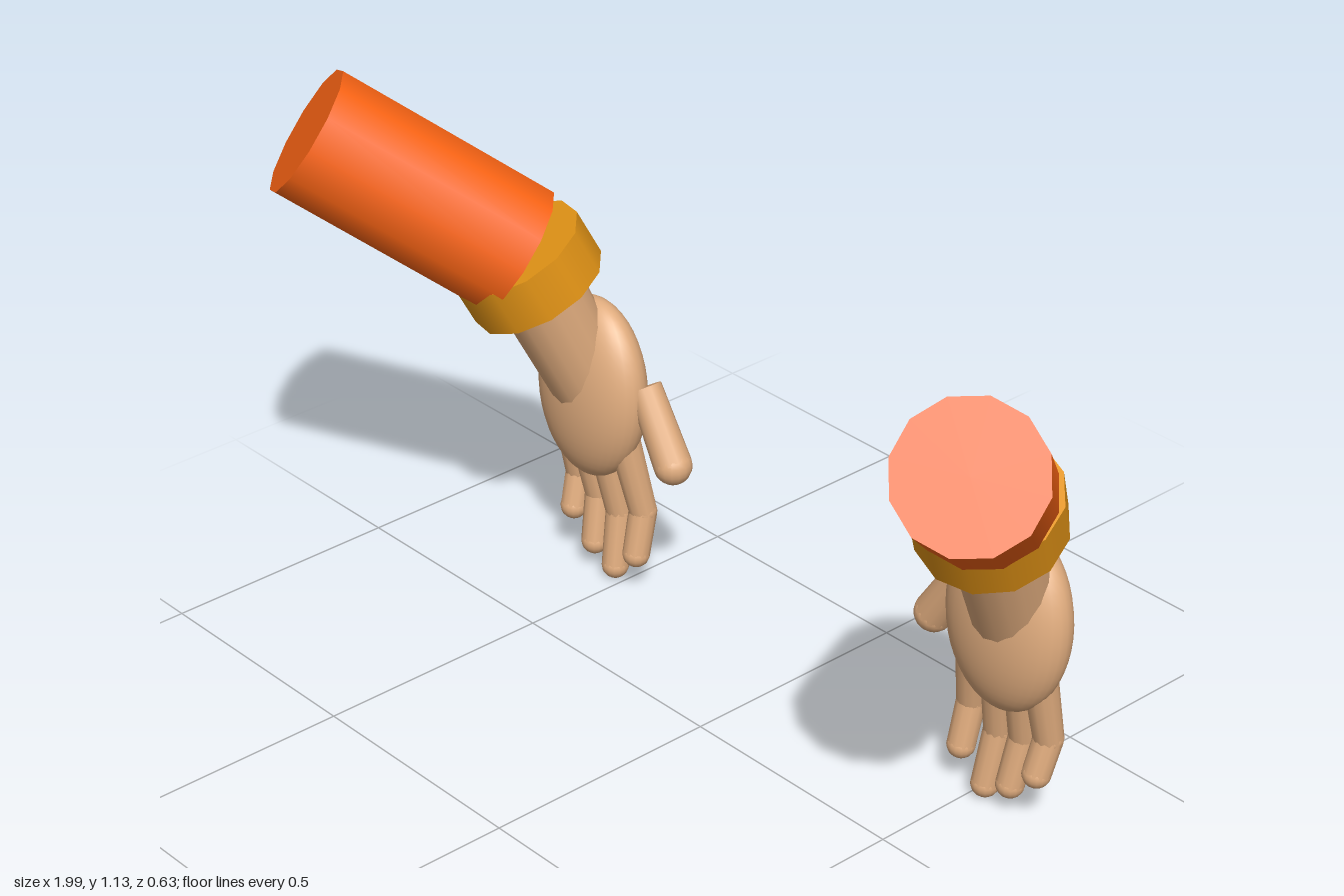
import * as THREE from 'three';

const skin = new THREE.MeshStandardMaterial({ color: 0xe0ac7e });
const sleeveMat = new THREE.MeshStandardMaterial({ color: 0xfa6414 });
const cuffMat = new THREE.MeshStandardMaterial({ color: 0xe39416 });
const UP = new THREE.Vector3(0, 1, 0);

// Tapered cylinder running from point a to point b
function limb(name, a, b, ra, rb, sides, material) {
  const from = new THREE.Vector3(...a), to = new THREE.Vector3(...b);
  const dir = to.clone().sub(from);
  const mesh = new THREE.Mesh(new THREE.CylinderGeometry(rb, ra, dir.length(), sides), material);
  mesh.position.copy(from).add(to).multiplyScalar(0.5);
  mesh.quaternion.setFromUnitVectors(UP, dir.normalize());
  mesh.name = name;
  return mesh;
}

function ball(name, p, r) {
  const mesh = new THREE.Mesh(new THREE.SphereGeometry(r, 16, 12), skin);
  mesh.position.set(...p);
  mesh.name = name;
  return mesh;
}

// Base, joint and tip of each finger, little finger first
const FINGERS = [
  { name: 'littleFinger', base: [0.655, 0.33], joint: [0.658, 0.19], tip: [0.652, 0.118] },
  { name: 'ringFinger', base: [0.607, 0.31], joint: [0.597, 0.165], tip: [0.588, 0.063] },
  { name: 'middleFinger', base: [0.548, 0.31], joint: [0.533, 0.15], tip: [0.525, 0.033] },
  { name: 'indexFinger', base: [0.485, 0.34], joint: [0.462, 0.18], tip: [0.46, 0.088] },
];

function buildArm(side) {
  const arm = new THREE.Group();
  arm.name = side > 0 ? 'leftArm' : 'rightArm';
  const P = (x, y, z) => [side * x, y, z];

  // Sleeve and cuff
  arm.add(limb('sleeve', P(0.63, 0.76, -0.09), P(0.883, 1.022, 0.212), 0.136, 0.136, 12, sleeveMat));
  arm.add(limb('cuff', P(0.616, 0.673, -0.13), P(0.638, 0.763, -0.089), 0.141, 0.141, 12, cuffMat));

  // Wrist runs into the palm
  arm.add(limb('wrist', P(0.583, 0.43, -0.238), P(0.627, 0.715, -0.112), 0.08, 0.09, 16, skin));

  // Flattened palm
  const palm = new THREE.Mesh(new THREE.SphereGeometry(1, 32, 24), skin);
  palm.scale.set(0.143, 0.193, 0.074);
  palm.position.set(...P(0.575, 0.432, -0.231));
  palm.rotation.x = -0.07;
  palm.name = 'palm';
  arm.add(palm);

  // Two-part fingers, bent slightly at the joint
  for (const f of FINGERS) {
    const finger = new THREE.Group();
    finger.name = f.name;
    const base = P(...f.base, -0.235), joint = P(...f.joint, -0.262), tip = P(...f.tip, -0.241);
    finger.add(limb('upperSegment', base, joint, 0.033, 0.029, 12, skin));
    finger.add(ball('joint', joint, 0.029));
    finger.add(limb('lowerSegment', joint, tip, 0.029, 0.028, 12, skin));
    finger.add(ball('fingertip', tip, 0.028));
    arm.add(finger);
  }

  // Thumb
  const thumb = new THREE.Group();
  thumb.name = 'thumb';
  const root = P(0.451, 0.468, -0.26), tip = P(0.364, 0.328, -0.256);
  thumb.add(limb('thumbSegment', root, tip, 0.034, 0.039, 14, skin));
  thumb.add(ball('thumbTip', tip, 0.039));
  arm.add(thumb);
  return arm;
}

export function createModel() {
  const model = new THREE.Group();
  model.name = 'armsWithHands';
  for (const side of [1, -1]) model.add(buildArm(side));
  return model;
}
